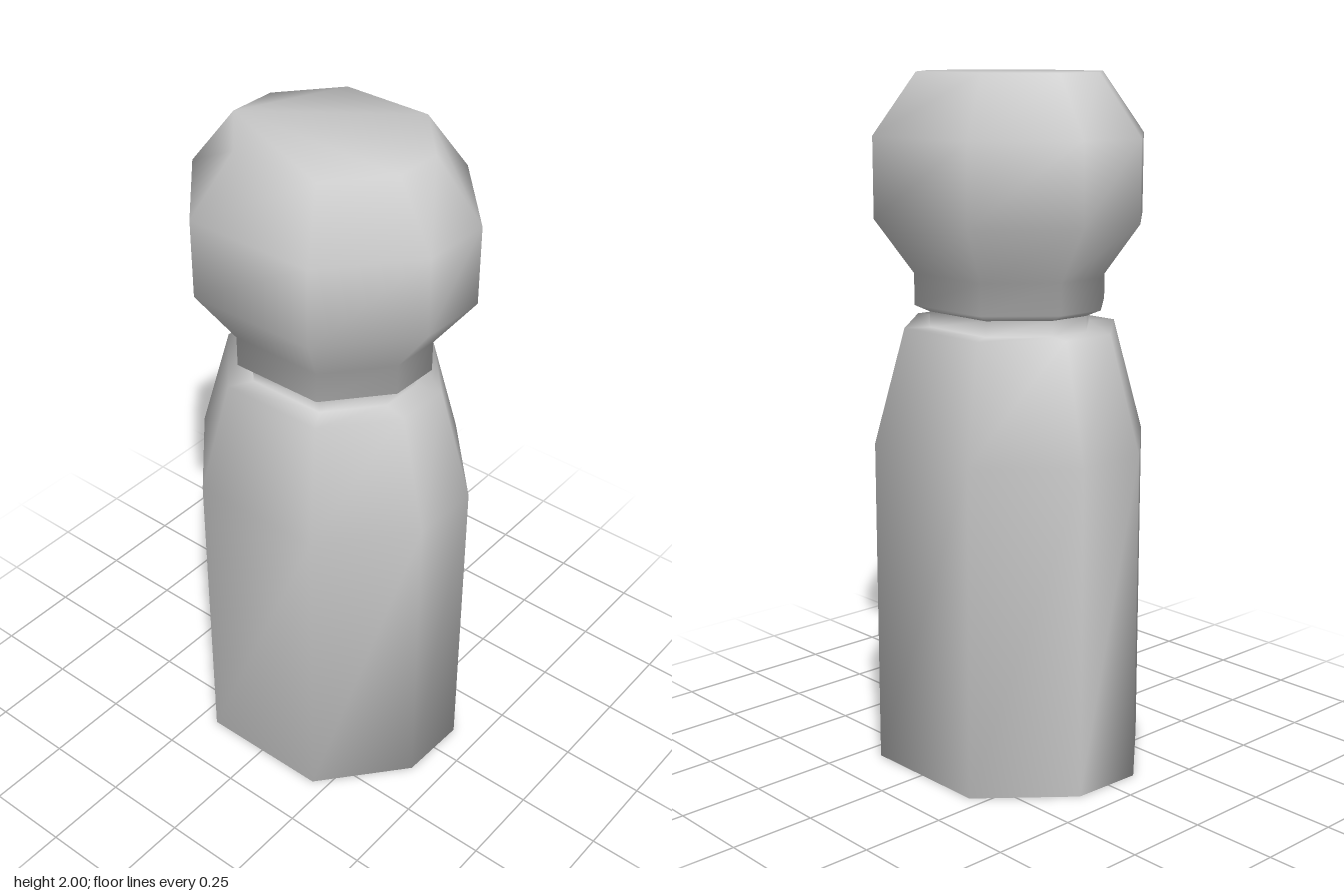
import * as THREE from 'three';

// Slightly skewed octagon cross-section, as [x, z]
const SECTION = [
  [-0.10, -0.417], [0.112, -0.41], [0.35, -0.207], [0.352, 0.19],
  [0.10, 0.416], [-0.112, 0.409], [-0.35, 0.205], [-0.352, -0.192],
];

// Stacks scaled copies of the section; rings are [y, scale]
function loft(rings, capBottom, capTop) {
  const n = SECTION.length, positions = [], index = [];
  for (const [y, s] of rings) {
    for (const [x, z] of SECTION) positions.push(x * s, y, z * s);
  }
  for (let r = 0; r < rings.length - 1; r++) {
    for (let i = 0; i < n; i++) {
      const a = r * n + i, b = r * n + (i + 1) % n;
      index.push(a, a + n, b, b, a + n, b + n);
    }
  }
  const top = (rings.length - 1) * n;
  for (let i = 1; i < n - 1; i++) {
    if (capBottom) index.push(0, i, i + 1);
    if (capTop) index.push(top, top + i + 1, top + i);
  }
  const geometry = new THREE.BufferGeometry();
  geometry.setAttribute('position', new THREE.Float32BufferAttribute(positions, 3));
  geometry.setIndex(index);
  geometry.computeVertexNormals();
  return geometry;
}

export function createModel() {
  const group = new THREE.Group();
  group.name = 'pegFigure';
  const grey = new THREE.MeshStandardMaterial({ name: 'grey', color: 0xcccccc });

  // Straight body, sloping shoulders and narrow neck
  const body = new THREE.Mesh(
    loft([[0, 1], [0.96, 1], [1.29, 0.775], [1.29, 0.59], [1.335, 0.59]], true, false), grey);
  body.name = 'body';

  // Faceted head with a collar-like chin and flat crown
  const head = new THREE.Mesh(
    loft([[1.335, 0.59], [1.355, 0.7], [1.445, 0.7], [1.6, 0.98], [1.828, 0.98], [2, 0.67]], false, true), grey);
  head.name = 'head';

  group.add(body, head);
  return group;
}
